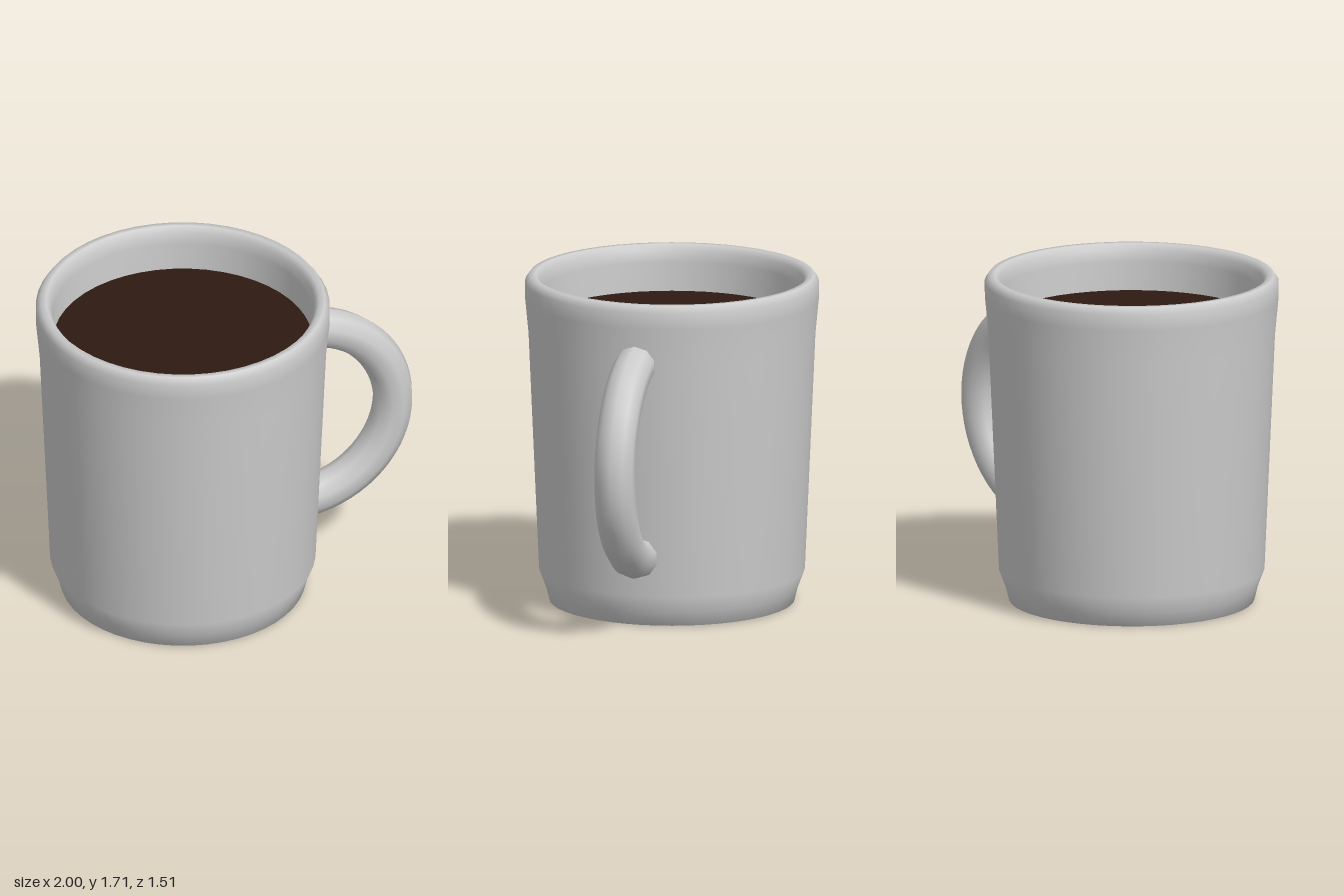
import * as THREE from 'three';

const CUP_X = -0.245;

function addMesh(group, name, geometry, material, x, y) {
  const mesh = new THREE.Mesh(geometry, material);
  mesh.name = name;
  mesh.position.set(x, y, 0);
  group.add(mesh);
  return mesh;
}

export function createModel() {
  const group = new THREE.Group();
  group.name = 'mug';
  const ceramic = new THREE.MeshStandardMaterial({ color: 0xcccccc });
  const coffee = new THREE.MeshStandardMaterial({ color: 0x2e1a12 });

  // Cup: underside, stepped foot, tapered wall, flared rounded rim, inner wall and floor
  const profile = [
    [0, 0], [0.6, 0], [0.63, 0.004], [0.648, 0.075], [0.682, 0.165],
    [0.736, 1.4], [0.754, 1.59], [0.755, 1.675], [0.731, 1.71],
    [0.7, 1.71], [0.678, 1.68], [0.668, 1.62], [0.663, 1.4],
    [0.61, 0.2], [0.57, 0.12], [0, 0.12],
  ].map(([r, y]) => new THREE.Vector2(r, y));
  addMesh(group, 'cup', new THREE.LatheGeometry(profile, 48), ceramic, CUP_X, 0);

  // Drink surface
  const surface = new THREE.CircleGeometry(0.667, 48).rotateX(-Math.PI / 2);
  addMesh(group, 'coffee', surface, coffee, CUP_X, 1.47);

  // Handle: a half ring whose ends are buried in the wall
  const trim = 0.1;
  const ring = new THREE.TorusGeometry(0.518, 0.105, 10, 32, Math.PI - 2 * trim)
    .rotateZ(-Math.PI / 2 + trim);
  addMesh(group, 'handle', ring, ceramic, 0.377, 0.883);

  return group;
}
